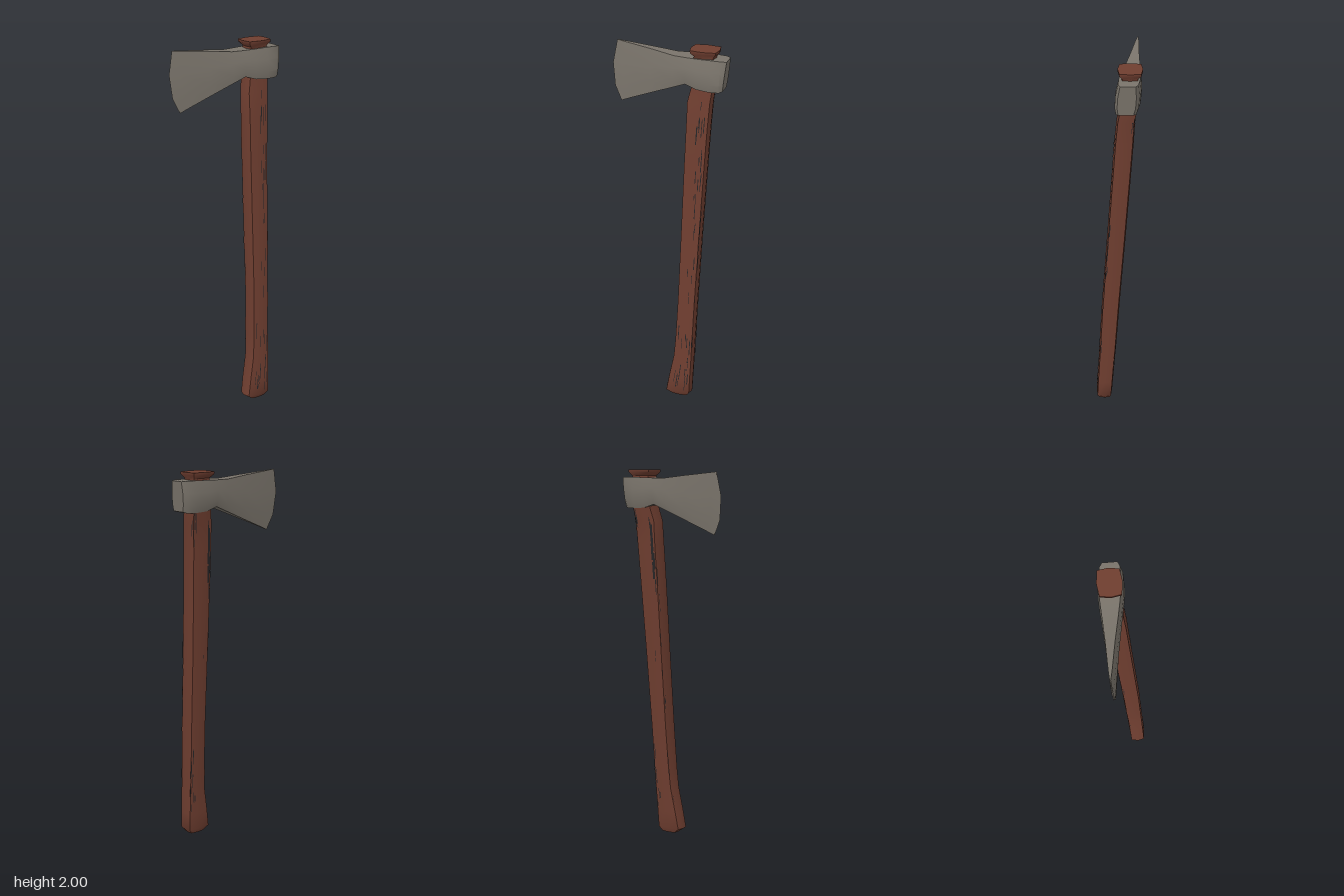
import * as THREE from 'three';
import { toCreasedNormals } from 'three/addons/utils/BufferGeometryUtils.js';

const wood = new THREE.MeshStandardMaterial({ color: 0x6f3e30 });
wood.name = 'brown wood';
const steel = new THREE.MeshStandardMaterial({ color: 0x7a746b });
steel.name = 'grey steel';
const grain = new THREE.MeshStandardMaterial({ color: 0x262527, side: THREE.DoubleSide });
grain.name = 'dark grain';

// Skins a list of equal-length rings of [x, y, z] and closes both ends.
function loft(rings, crease) {
  const n = rings[0].length;
  const last = rings.length - 1;
  const pos = rings.flat(2);
  const index = [];
  for (let i = 0; i < last; i++) {
    for (let j = 0; j < n; j++) {
      const a = i * n + j, b = i * n + (j + 1) % n;
      index.push(a, a + n, b, b, a + n, b + n);
    }
  }
  for (const i of [0, last]) {
    const centre = [0, 1, 2].map((c) => rings[i].reduce((s, p) => s + p[c], 0) / n);
    const ci = pos.length / 3;
    pos.push(...centre);
    for (let j = 0; j < n; j++) {
      const a = i * n + j, b = i * n + (j + 1) % n;
      if (i === 0) index.push(ci, a, b);
      else index.push(ci, b, a);
    }
  }
  const g = new THREE.BufferGeometry();
  g.setAttribute('position', new THREE.Float32BufferAttribute(pos, 3));
  g.setIndex(index);
  return toCreasedNormals(g, crease);
}

// Handle sections: y, x min, x max, z min, z max
const SECTIONS = [
  [0.0, 0.07, 0.16, 0.045, 0.108],
  [0.025, 0.034, 0.183, 0.035, 0.122],
  [0.12, 0.05, 0.185, 0.028, 0.117],
  [0.25, 0.075, 0.188, 0.019, 0.109],
  [0.36, 0.083, 0.19, 0.01, 0.103],
  [0.6, 0.092, 0.197, -0.006, 0.09],
  [1.0, 0.098, 0.21, -0.036, 0.062],
  [1.4, 0.103, 0.226, -0.065, 0.034],
  [1.6, 0.107, 0.235, -0.079, 0.02],
  [1.73, 0.108, 0.243, -0.086, 0.008],
  [1.8, 0.124, 0.25, -0.1, -0.004],
  [1.92, 0.13, 0.252, -0.105, -0.01],
  [1.968, 0.135, 0.25, -0.102, -0.014],
  [1.986, 0.116, 0.266, -0.121, 0.002],
  [2.0, 0.115, 0.267, -0.122, 0.003],
];
const OCTAGON = [[1, 0], [0.88, 0.86], [0, 1], [-0.88, 0.86], [-1, 0], [-0.88, -0.86], [0, -1], [0.88, -0.86]];

function sectionPoint([y, x0, x1, z0, z1], [cx, cz], lift = 0) {
  return [
    (x0 + x1) / 2 + cx * ((x1 - x0) / 2 + lift), y,
    (z0 + z1) / 2 + cz * ((z1 - z0) / 2 + lift),
  ];
}

// Point on the handle skin at height y and octagon position u (0..8)
function handlePoint(y, u, lift) {
  let i = 0;
  while (i < SECTIONS.length - 2 && SECTIONS[i + 1][0] < y) i++;
  const a = SECTIONS[i], b = SECTIONS[i + 1];
  const t = (y - a[0]) / (b[0] - a[0]);
  const section = a.map((v, k) => v + (b[k] - v) * t);
  const j = Math.floor(u), f = u - j;
  const p = OCTAGON[j % 8], q = OCTAGON[(j + 1) % 8];
  return sectionPoint(section, p.map((v, k) => v + (q[k] - v) * f), lift);
}

// Thin dark streaks lying along the wood
function grainGeometry() {
  let seed = 7;
  const rand = () => (seed = (seed * 16807) % 2147483647) / 2147483647;
  const pos = [];
  const streak = (y, length, u, width) => {
    const [a, b, c, d] = [[y, u], [y + length, u], [y + length, u + width], [y, u + width]]
      .map(([h, v]) => handlePoint(h, v, 0.002));
    pos.push(...a, ...b, ...c, ...a, ...c, ...d);
  };
  // count, y min, y max, u min, u max
  const patches = [
    [26, 0.04, 1.7, 1.2, 2.0],
    [12, 0.04, 0.4, 1.2, 2.6],
    [14, 0.1, 1.2, 0.75, 1.0],
    [14, 0.05, 1.7, 4.7, 5.7],
    [8, 0.05, 0.45, 6.1, 7.0],
    [8, 1.62, 1.72, 6.6, 7.3],
  ];
  for (const [count, y0, y1, u0, u1] of patches) {
    for (let i = 0; i < count; i++) {
      streak(y0 + rand() * (y1 - y0), 0.03 + rand() * 0.07, u0 + rand() * (u1 - u0), 0.04 + rand() * 0.05);
    }
  }
  // Larger worn patch on the back
  for (let i = 0; i < 5; i++) streak(1.42 + i * 0.05, 0.09, 5.1 + rand() * 0.15, 0.22);
  const g = new THREE.BufferGeometry();
  g.setAttribute('position', new THREE.Float32BufferAttribute(pos, 3));
  g.computeVertexNormals();
  return g;
}

// Axe head stations, poll to edge: x, edge bow, lean, y bottom, y top, half width
const STATIONS = [
  [0.316, 0, 0.016, 1.803, 1.958, 0.045],
  [0.292, 0, 0.01, 1.797, 1.96, 0.059],
  [0.23, 0, 0, 1.795, 1.96, 0.063],
  [0.16, 0, 0, 1.8, 1.958, 0.062],
  [0.1, 0, 0, 1.818, 1.956, 0.055],
  [0.03, 0, 0, 1.789, 1.955, 0.045],
  [-0.1, 0.4, 0, 1.743, 1.968, 0.028],
  [-0.265, 1, 0, 1.687, 1.982, 0.011],
  [-0.317, 1, 0, 1.664, 1.987, 0.003],
];
// Side positions down the section: fraction, bow of the cutting edge, width factor
const SIDE = [[0, 0.023, 0.84], [0.38, 0, 1], [0.76, 0.013, 1], [1, 0.05, 0.84]];

function headRing([x, bow, lean, yb, yt, w]) {
  const point = ([t, arc, k], side) => {
    const px = x + bow * arc - lean * t;
    const y = yt + (yb - yt) * t;
    const centre = -0.052 - (0.2 - px) * 0.079 - 0.07 * (y - 1.88);
    return [px, y, centre + side * k * w];
  };
  return [...SIDE.map((s) => point(s, 1)), ...[...SIDE].reverse().map((s) => point(s, -1))];
}

export function createModel() {
  const group = new THREE.Group();
  group.name = 'axe';
  const add = (name, geometry, material) => {
    const mesh = new THREE.Mesh(geometry, material);
    mesh.name = name;
    group.add(mesh);
  };
  add('handle', loft(SECTIONS.map((s) => OCTAGON.map((c) => sectionPoint(s, c))), 0.85), wood);
  add('handleGrain', grainGeometry(), grain);
  add('axeHead', loft(STATIONS.map(headRing), 0.6), steel);
  return group;
}
